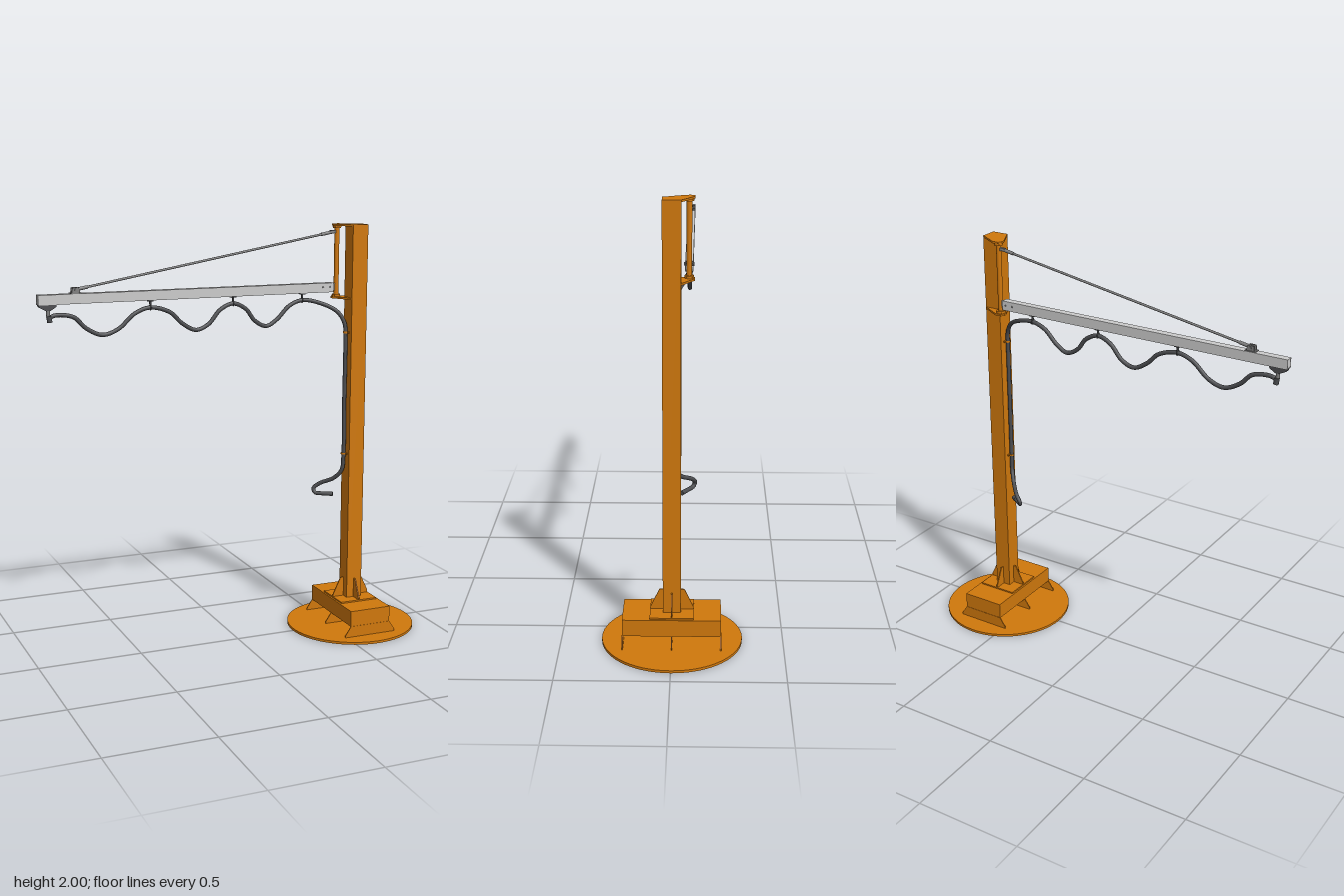
import * as THREE from 'three';

const CX = 0.613; // column axis
const AZ = -0.072; // plane of the swing arm
const PX = 0.543; // pivot axis

const mat = (color) => new THREE.MeshStandardMaterial({ color });

export function createModel() {
  const root = new THREE.Group();
  root.name = 'columnSwingArm';
  const orange = mat(0xd0780c);
  const grey = mat(0xcccccc);
  const steel = mat(0x808080);
  const rubber = mat(0x4c4d50);

  const add = (name, geo, material, x = 0, y = 0, z = 0, parent = root) => {
    const m = new THREE.Mesh(geo, material);
    m.name = name;
    m.position.set(x, y, z);
    parent.add(m);
    return m;
  };
  const box = (name, w, h, d, material, x, y, z) =>
    add(name, new THREE.BoxGeometry(w, h, d), material, x, y, z);
  const cyl = (name, r, h, material, x, y, z, n = 24) =>
    add(name, new THREE.CylinderGeometry(r, r, h, n), material, x, y, z);
  const shape = (pts) => new THREE.Shape(pts.map(([a, b]) => new THREE.Vector2(a, b)));
  // Upright plate in the xy plane, centred on its thickness
  const plate = (pts, t) =>
    new THREE.ExtrudeGeometry(shape(pts), { depth: t, bevelEnabled: false }).translate(0, 0, -t / 2);
  // Level plate from x, z points
  const slab = (pts, t) =>
    new THREE.ExtrudeGeometry(shape(pts.map(([x, z]) => [x, -z])), { depth: t, bevelEnabled: false })
      .rotateX(-Math.PI / 2);
  // Round bar between two points
  const bar = (name, a, b, r, material) => {
    const p = new THREE.Vector3(...a), q = new THREE.Vector3(...b);
    const m = cyl(name, r, p.distanceTo(q), material, 0, 0, 0, 12);
    m.position.copy(p).add(q).multiplyScalar(0.5);
    m.quaternion.setFromUnitVectors(new THREE.Vector3(0, 1, 0), q.sub(p).normalize());
    return m;
  };

  // Base: floor disc, cross webs, ballast box and foot plate
  cyl('floorDisc', 0.316, 0.012, orange, CX, 0.006, 0, 64);
  for (const z of [-0.219, 0, 0.219]) {
    add('baseWeb', plate([[-0.135, 0.012], [0.135, 0.012], [0.135, 0.022], [0.105, 0.066],
      [-0.105, 0.066], [-0.135, 0.022]], 0.005), orange, CX, 0, z);
  }
  box('baseBox', 0.212, 0.078, 0.44, orange, CX, 0.104, 0);
  box('footPlate', 0.195, 0.007, 0.195, orange, CX, 0.1465, 0);

  // Column with four gussets
  box('column', 0.08, 1.846, 0.08, orange, CX, 1.073, 0);
  for (let i = 0; i < 4; i++) {
    const g = add('columnGusset', plate([[0.039, 0.15], [0.096, 0.15], [0.096, 0.162],
      [0.056, 0.246], [0.039, 0.246]], 0.006), orange, CX, 0, 0);
    g.rotation.y = i * Math.PI / 2;
  }

  // Pivot brackets reaching from the column corner, and the pivot tube
  const bracket = [[0.518, -0.078], [0.528, -0.096], [0.558, -0.096], [0.653, -0.04],
    [0.653, 0.04], [0.573, 0.04], [0.52, -0.06]];
  for (const [y, inner] of [[1.991, -1], [1.644, 1]]) {
    add('pivotBracket', slab(bracket, 0.009), orange, 0, y, 0);
    cyl('pivotCollar', 0.02, 0.012, orange, PX, y + 0.0045 + inner * 0.01, AZ);
    for (const [dx, dz] of [[-0.013, -0.013], [0.013, -0.013], [-0.013, 0.013], [0.013, 0.013]]) {
      cyl('bracketBolt', 0.003, 0.012, orange, PX + dx, y + 0.0045 + inner * 0.006, AZ + dz, 6);
    }
  }
  cyl('pivotTube', 0.012, 0.33, orange, PX, 1.822, AZ);

  // Arm: rail with a slot along its underside
  const w = 0.0175, t = 0.003, s = 0.006, lo = 1.675, hi = 1.72;
  const rail = shape([[-w, lo], [-s, lo], [-s, lo + t], [-w + t, lo + t], [-w + t, hi - t],
    [w - t, hi - t], [w - t, lo + t], [s, lo + t], [s, lo], [w, lo], [w, hi], [-w, hi]]);
  add('armRail', new THREE.ExtrudeGeometry(rail, { depth: 1.453, bevelEnabled: false })
    .rotateY(Math.PI / 2), grey, -0.933, 0, AZ);
  box('armLug', 0.075, 0.036, 0.012, grey, 0.498, 1.698, AZ);
  for (const x of [0.465, 0.502]) {
    cyl('armBolt', 0.004, 0.045, steel, x, 1.7, AZ, 8).rotation.x = Math.PI / 2;
  }
  box('railEndStop', 0.008, 0.038, 0.03, grey, -0.928, 1.698, AZ);

  // Tie rod with a clevis at each end
  const low = [-0.758, 1.737, AZ], high = [0.525, 1.962, AZ];
  bar('tieRod', low, high, 0.0055, steel);
  bar('lowerTurnbuckle', [-0.755, 1.7375, AZ], [-0.7, 1.747, AZ], 0.008, steel);
  bar('upperTurnbuckle', [0.46, 1.9506, AZ], [0.522, 1.9615, AZ], 0.008, steel);
  box('upperClevis', 0.03, 0.014, 0.014, steel, 0.522, 1.962, AZ);
  box('tieFoot', 0.05, 0.005, 0.036, steel, -0.758, 1.7215, AZ);
  for (const dz of [-0.011, 0.011]) {
    add('tieLug', plate([[-0.02, 0], [0.02, 0], [0.014, 0.027], [-0.016, 0.027]], 0.005),
      steel, -0.758, 1.72, AZ + dz);
  }
  cyl('tiePin', 0.006, 0.036, steel, -0.758, 1.737, AZ, 12).rotation.x = Math.PI / 2;

  // End trolley and hose outlet under the tip
  add('endTrolley', plate([[-0.931, 1.676], [-0.846, 1.676], [-0.85, 1.665], [-0.876, 1.648],
    [-0.896, 1.648], [-0.928, 1.665]], 0.024), rubber, 0, 0, AZ);
  cyl('outletStem', 0.009, 0.03, steel, -0.885, 1.64, AZ, 12);
  cyl('outletNozzle', 0.012, 0.03, rubber, -0.88, 1.61, AZ, 12).rotation.z = 0.15;

  // Hose hangers
  for (const x of [-0.405, 0.005, 0.362]) {
    cyl('hangerStem', 0.005, 0.03, rubber, x, 1.665, AZ, 8);
    box('hangerRoller', 0.026, 0.007, 0.022, rubber, x, 1.673, AZ);
    add('hangerLoop', new THREE.TorusGeometry(0.0115, 0.003, 8, 16).rotateY(Math.PI / 2),
      rubber, x, 1.642, AZ);
  }

  // Hose: waves below the rail, runs down the column, hooks out at the bottom
  const wave = [[-0.882, 1.61], [-0.865, 1.623], [-0.82, 1.626], [-0.765, 1.612], [-0.71, 1.56],
    [-0.635, 1.527], [-0.56, 1.55], [-0.48, 1.617], [-0.405, 1.641], [-0.31, 1.615], [-0.25, 1.56],
    [-0.182, 1.526], [-0.12, 1.55], [-0.06, 1.615], [0.005, 1.641], [0.07, 1.612], [0.115, 1.555],
    [0.175, 1.526], [0.23, 1.555], [0.295, 1.617], [0.362, 1.641]].map(([x, y]) => [x, y, AZ]);
  const drop = [[0.45, 1.625, -0.055], [0.525, 1.585, -0.022], [0.557, 1.53, -0.004],
    [0.561, 1.46, 0], [0.561, 1.15, 0], [0.561, 0.86, 0], [0.556, 0.8, -0.006], [0.528, 0.755, -0.036],
    [0.475, 0.72, -0.088], [0.449, 0.695, -0.1], [0.452, 0.676, -0.092], [0.482, 0.672, -0.07],
    [0.525, 0.672, -0.042]];
  const path = new THREE.CatmullRomCurve3([...wave, ...drop].map((p) => new THREE.Vector3(...p)));
  add('hose', new THREE.TubeGeometry(path, 320, 0.0098, 12), rubber);
  bar('hoseEnd', [0.505, 0.672, -0.055], [0.527, 0.672, -0.041], 0.0105, rubber);

  // Clips holding the hose to the column
  for (const y of [0.885, 1.485]) {
    cyl('hoseClip', 0.0125, 0.008, orange, 0.561, y, 0, 16);
    box('hoseClipFoot', 0.006, 0.008, 0.04, orange, 0.571, y, 0);
  }
  return root;
}
